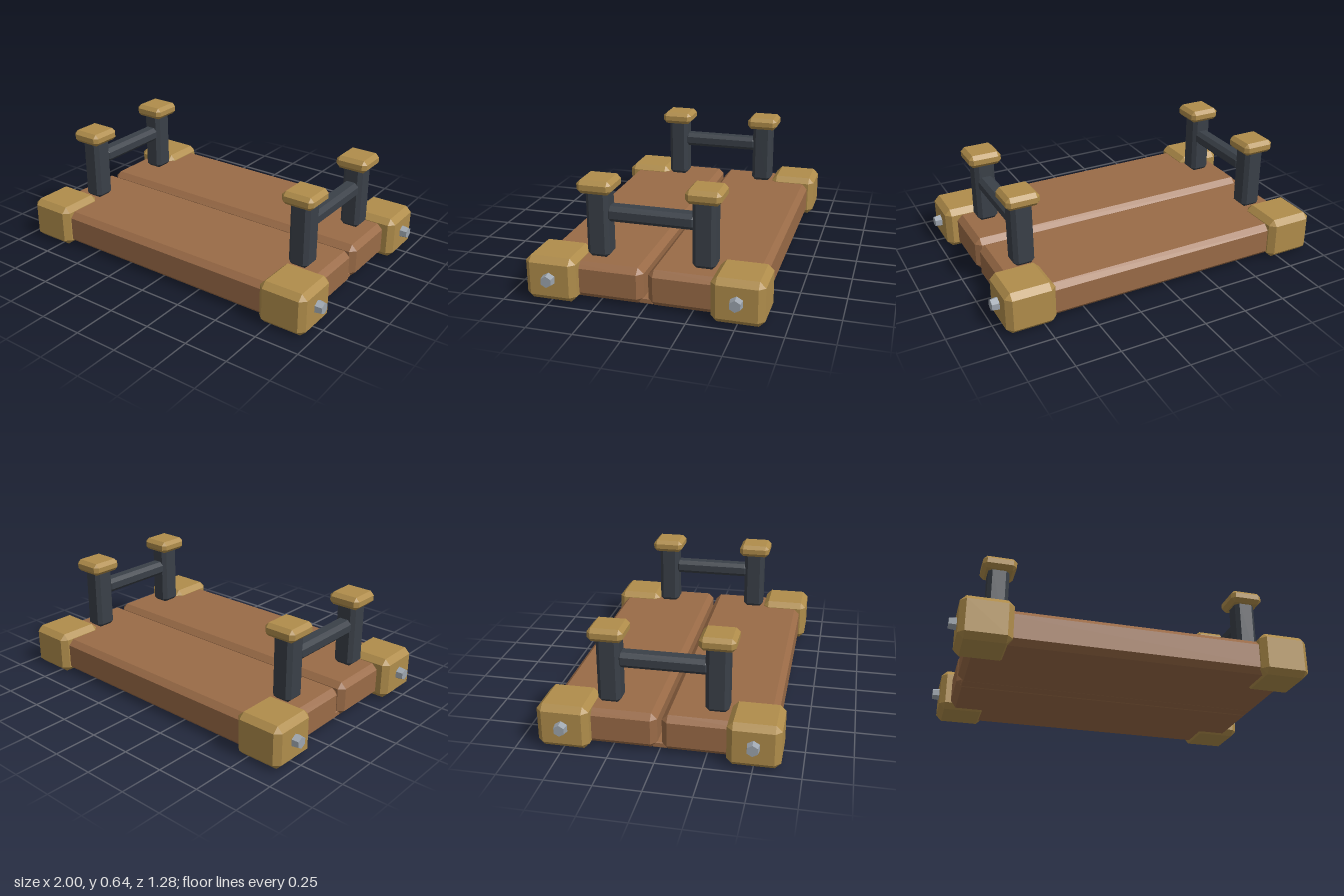
import * as THREE from 'three';
import { ConvexGeometry } from 'three/addons/geometries/ConvexGeometry.js';

const material = (color) => new THREE.MeshStandardMaterial({ color, flatShading: true });

// Box with every edge cut at 45 degrees, given by its min and max corners
function chamferBox(name, min, max, c, mat) {
  const centre = min.map((v, i) => (v + max[i]) / 2);
  const half = max.map((v, i) => (v - min[i]) / 2);
  const points = [];
  for (const sx of [-1, 1]) for (const sy of [-1, 1]) for (const sz of [-1, 1]) {
    for (let axis = 0; axis < 3; axis++) {
      const p = half.map((h, i) => (i === axis ? h : h - c));
      points.push(new THREE.Vector3(sx * p[0], sy * p[1], sz * p[2]));
    }
  }
  const mesh = new THREE.Mesh(new ConvexGeometry(points), mat);
  mesh.position.set(...centre);
  mesh.name = name;
  return mesh;
}

export function createModel() {
  const model = new THREE.Group();
  model.name = 'plankPlatform';
  const wood = material(0x9a6b47);
  const brass = material(0xb08d4b);
  const iron = material(0x3a4048);
  const steel = material(0x9da5ae);

  // Joining strip at the bottom of the groove
  model.add(chamferBox('grooveStrip', [-0.87, 0.012, -0.04], [0.87, 0.045, 0.04], 0.005, wood));

  for (const sz of [-1, 1]) {
    // Mirrors a z range to the front or the back
    const z = (a, b) => (sz > 0 ? [a, b] : [-b, -a]);
    const [p0, p1] = z(0.012, 0.6);
    model.add(chamferBox('plank', [-0.895, 0.01, p0], [0.895, 0.21, p1], 0.032, wood));

    for (const sx of [-1, 1]) {
      const x = (a, b) => (sx > 0 ? [a, b] : [-b, -a]);
      const part = (name, [x0, x1], y0, y1, [z0, z1], c, mat) =>
        model.add(chamferBox(name, [x0, y0, z0], [x1, y1, z1], c, mat));

      part('cornerBlock', x(0.68, 0.96), 0, 0.245, z(0.36, 0.64), 0.032, brass);
      part('post', x(0.68, 0.8), 0.208, 0.6, z(0.225, 0.35), 0.022, iron);
      part('postCap', x(0.645, 0.835), 0.568, 0.642, z(0.195, 0.385), 0.022, brass);

      // Tapered hexagonal bolt head on the outer face of the block
      const bolt = new THREE.Mesh(new THREE.CylinderGeometry(0.032, 0.039, 0.05, 6), steel);
      bolt.rotation.z = -sx * Math.PI / 2;
      bolt.rotation.y = 0;
      bolt.geometry.rotateY(Math.PI / 2);
      bolt.position.set(sx * 0.975, 0.13, sz * 0.5);
      bolt.name = 'bolt';
      model.add(bolt);
    }
  }

  // Rails between the posts
  for (const sx of [-1, 1]) {
    const cx = sx * 0.74;
    model.add(chamferBox('rail', [cx - 0.048, 0.41, -0.245], [cx + 0.048, 0.495, 0.245], 0.022, iron));
  }
  return model;
}
